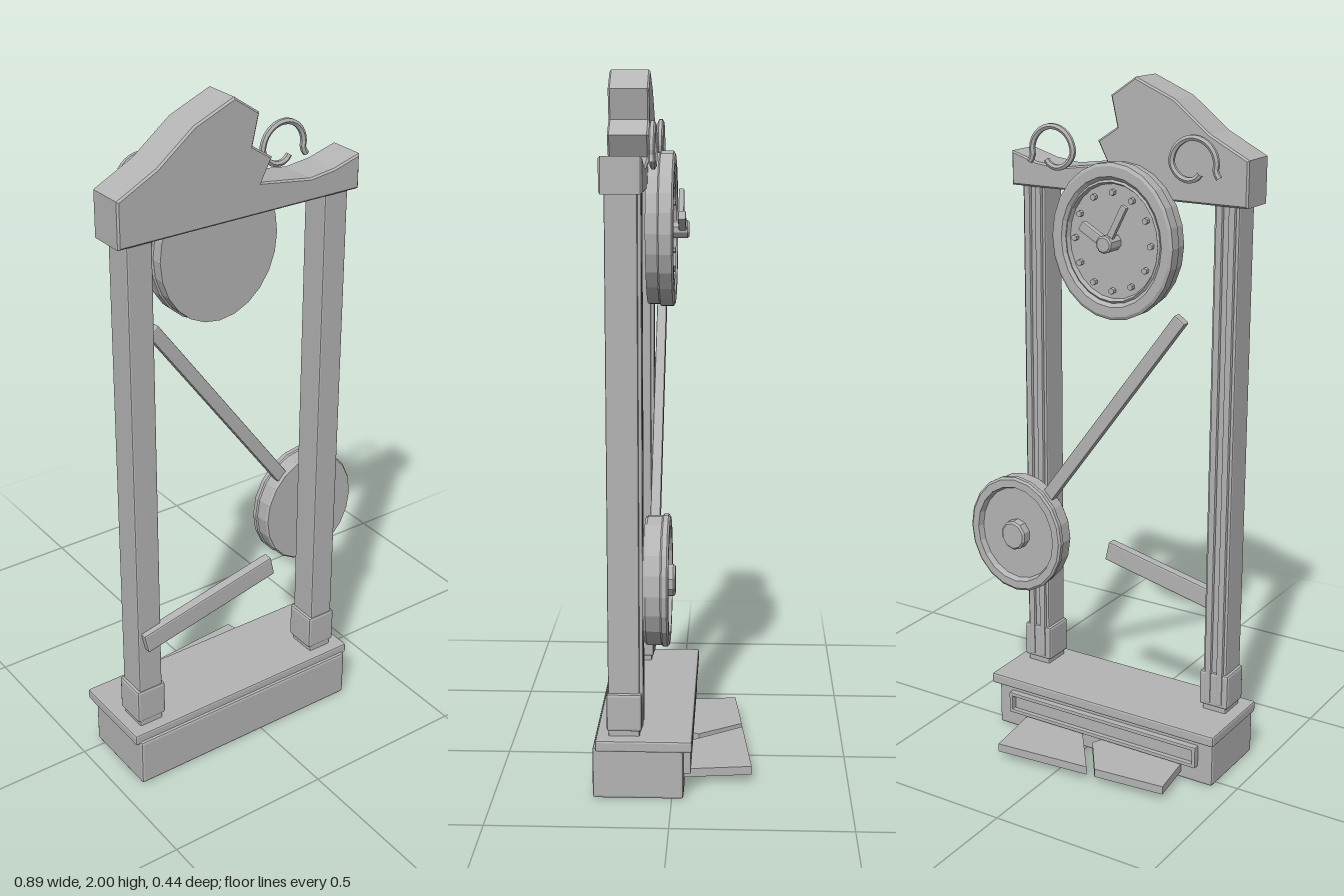
import * as THREE from 'three';
import { RoundedBoxGeometry } from 'three/addons/geometries/RoundedBoxGeometry.js';

const grey = new THREE.MeshStandardMaterial({ color: 0xb4b4b4, flatShading: true });
grey.name = 'light grey';

export function createModel() {
  const model = new THREE.Group();
  model.name = 'brokenClock';

  const add = (name, geometry, parent = model) => {
    const mesh = new THREE.Mesh(geometry, grey);
    mesh.name = name;
    parent.add(mesh);
    return mesh;
  };
  // Box given by its limits on each axis, with a small bevel
  const box = (name, x0, x1, y0, y1, z0, z1, bevel = 0.006, parent = model) => {
    const g = bevel
      ? new RoundedBoxGeometry(x1 - x0, y1 - y0, z1 - z0, 1, bevel)
      : new THREE.BoxGeometry(x1 - x0, y1 - y0, z1 - z0);
    const mesh = add(name, g, parent);
    mesh.position.set((x0 + x1) / 2, (y0 + y1) / 2, (z0 + z1) / 2);
    return mesh;
  };
  const shapeOf = (pts) => new THREE.Shape(pts.map(([x, y]) => new THREE.Vector2(x, y)));
  // Oval turned part whose profile is [radius, z], seen face on from -z
  const turned = (name, profile, sides, squash, x, y) => {
    const g = new THREE.LatheGeometry(profile.map(([r, z]) => new THREE.Vector2(r, -z)), sides);
    g.rotateX(-Math.PI / 2);
    g.scale(squash, 1, 1);
    const mesh = add(name, g);
    mesh.position.set(x, y, 0);
    return mesh;
  };
  // Bar between two points in the xy plane
  const bar = (name, x0, y0, x1, y1, width, z0, z1, bevel = 0.004) => {
    const length = Math.hypot(x1 - x0, y1 - y0);
    const mesh = box(name, 0, length, 0, width, z0, z1, bevel);
    mesh.position.set((x0 + x1) / 2, (y0 + y1) / 2, (z0 + z1) / 2);
    mesh.rotation.z = Math.atan2(y1 - y0, x1 - x0);
    return mesh;
  };

  // Base with its top slab
  box('base', -0.432, 0.318, 0, 0.15, -0.033, 0.221, 0.008);
  box('baseSlab', -0.445, 0.33, 0.142, 0.175, -0.057, 0.212);

  // Raised frame and inset panel on the base
  box('panelInset', -0.37, 0.255, 0.065, 0.11, -0.038, -0.025, 0);
  for (const [y0, y1] of [[0.055, 0.067], [0.11, 0.122]]) box('panelRail', -0.385, 0.27, y0, y1, -0.052, -0.02, 0.003);
  for (const x of [-0.385, 0.258]) box('panelStile', x, x + 0.012, 0.055, 0.122, -0.052, -0.02, 0.003);

  // Two halves of a snapped board lying in front of the panel
  const boards = [
    [[-0.349, -0.176], [-0.132, -0.196], [-0.044, -0.067], [-0.06, -0.03], [-0.33, -0.03]],
    [[-0.106, -0.198], [0.19, -0.224], [0.215, -0.03], [0.015, -0.03]],
  ];
  for (const pts of boards) {
    const g = new THREE.ExtrudeGeometry(shapeOf(pts.map(([x, z]) => [x, -z])), { depth: 0.025, bevelEnabled: false });
    g.rotateX(-Math.PI / 2);
    add('brokenBoard', g).position.y = 0.022;
  }

  // Columns with feet and raised flutes
  for (const x of [-0.369, 0.253]) {
    const column = new THREE.Group();
    column.name = 'column';
    column.position.x = x;
    model.add(column);
    box('shaft', -0.038, 0.038, 0.17, 1.745, 0.09, 0.178, 0.005, column);
    box('foot', -0.047, 0.047, 0.19, 0.3, 0.083, 0.182, 0.008, column);
    for (const s of [-1, 1]) box('flute', s * 0.019 - 0.01, s * 0.019 + 0.01, 0.2, 1.69, 0.08, 0.1, 0.004, column);
  }

  // Broken crown
  const crown = [
    [-0.432, 1.68], [0.314, 1.68], [0.314, 1.767], [0.235, 1.743], [0.156, 1.733], [-0.01, 1.757], [0.023, 1.82],
    [-0.038, 1.86], [-0.018, 1.945], [-0.09, 1.994], [-0.208, 1.944], [-0.318, 1.858], [-0.432, 1.799],
  ];
  add('brokenCrown', new THREE.ExtrudeGeometry(shapeOf(crown), {
    depth: 0.105, bevelThickness: 0.005, bevelSize: 0.005, bevelSegments: 1,
  })).position.z = 0.08;

  // Mirrored scroll ornaments
  for (const s of [-1, 1]) {
    const points = [new THREE.Vector3(s * 0.077, -0.035, 0)];
    for (let i = 0; i <= 18; i++) {
      const a = -0.25 + (i / 18) * 5.6;
      const r = i < 12 ? 0.068 : 0.068 - (i - 11) * 0.005;
      points.push(new THREE.Vector3(s * r * Math.cos(a), r * Math.sin(a), 0));
    }
    const curve = new THREE.CatmullRomCurve3(points);
    add('scroll', new THREE.TubeGeometry(curve, 28, 0.009, 6)).position.set(-0.06 + s * 0.225, 1.786, 0.055);
  }

  // Clock case and recessed dial
  const cx = -0.058, cy = 1.558, squash = 0.885;
  turned('clockCase', [[0, 0.08], [0.213, 0.08], [0.214, 0.047], [0.219, 0.043], [0.219, 0.008], [0.21, 0.003],
    [0.182, 0.003], [0.172, 0.012], [0.166, 0.007], [0.16, 0.02], [0, 0.02]], 24, squash, cx, cy);
  // Hour studs
  for (let i = 0; i < 12; i++) {
    const a = (i / 12) * Math.PI * 2;
    const stud = add('hourStud', new THREE.CylinderGeometry(0.009, 0.009, 0.014, 6));
    stud.rotation.x = -Math.PI / 2;
    stud.position.set(cx + Math.sin(a) * 0.137 * squash, cy + Math.cos(a) * 0.137, 0.014);
  }
  // Hands and hub
  bar('longHand', cx, cy, cx - 0.055, cy + 0.108, 0.02, -0.02, -0.004);
  bar('shortHand', cx, cy, cx + 0.08, cy + 0.045, 0.028, -0.028, -0.006);
  turned('handHub', [[0, 0.02], [0.025, 0.02], [0.025, -0.031], [0.02, -0.036], [0, -0.036]], 10, 1, cx, cy);

  // Pendulum: rod, rimmed bob and boss
  const px = 0.278, py = 0.626;
  bar('pendulumRod', -0.26, 1.36, px - 0.05, py + 0.07, 0.039, 0.036, 0.064);
  turned('pendulumBob', [[0, 0.072], [0.174, 0.072], [0.179, 0.065], [0.179, 0.026], [0.183, 0.022], [0.183, 0.009],
    [0.176, 0.004], [0.152, 0.004], [0.145, 0.022], [0, 0.022]], 20, 0.895, px, py);
  turned('pendulumBoss', [[0, 0.03], [0.046, 0.03], [0.046, -0.004], [0.04, -0.01], [0, -0.01]], 10, 0.92, px, py);

  // Splintered plank hanging from the left column
  bar('loosePlank', -0.39, 0.469, 0.051, 0.567, 0.062, 0.165, 0.195, 0.005);

  return model;
}
